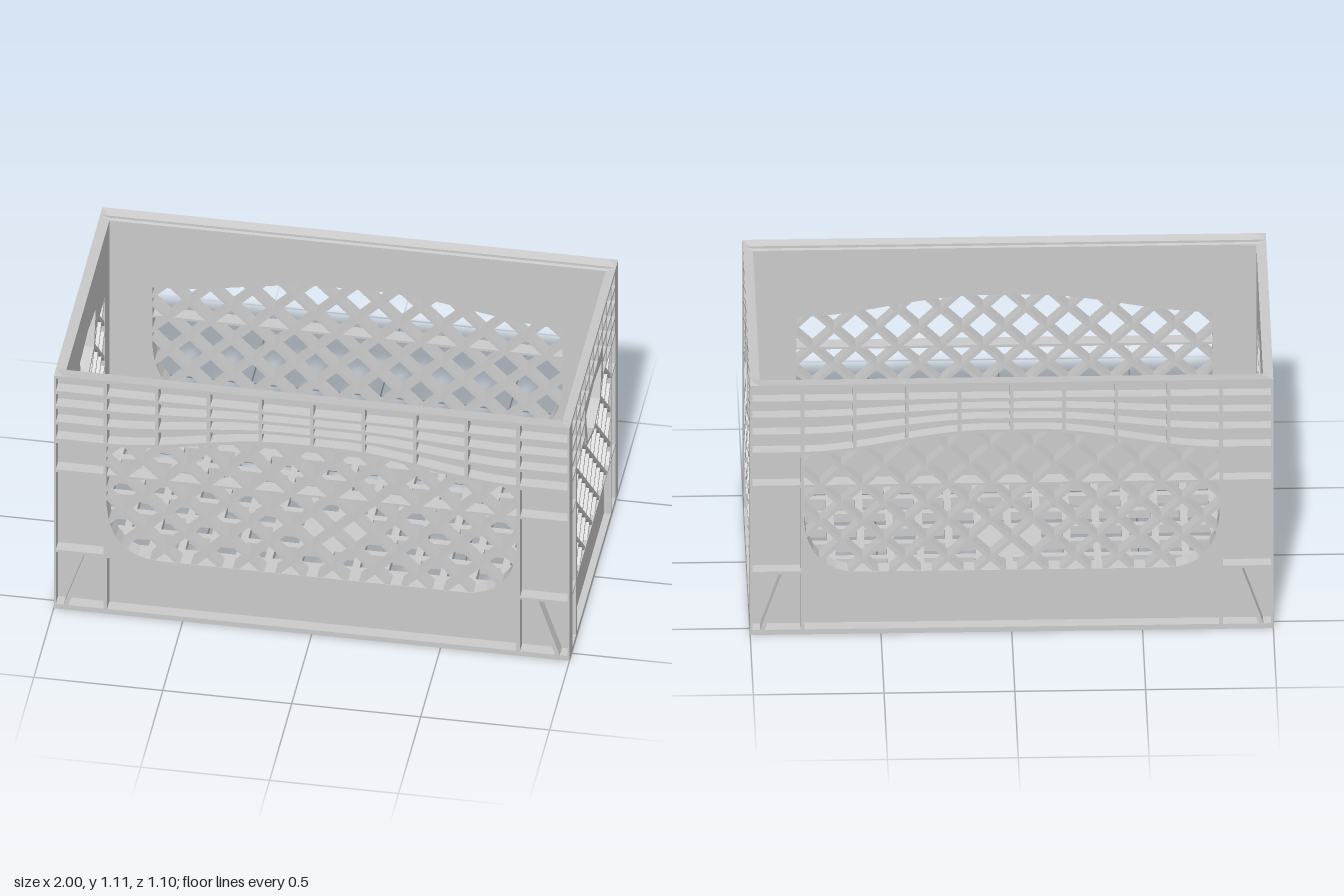
import * as THREE from 'three';

const H = 1.105, RIB = 0.007;
const plastic = new THREE.MeshStandardMaterial({ color: 0xcbcbcb });
plastic.name = 'grey plastic';

const rect = (x0, y0, x1, y1) => [[x0, y0], [x1, y0], [x1, y1], [x0, y1]];
const mirror = (pts) => pts.map(([x, y]) => [-x, y]).reverse();

// Flat plate from z0 to z1 with polygonal holes
function plate(name, outline, holes, z0, z1) {
  const toV = (pts) => pts.map(([x, y]) => new THREE.Vector2(x, y));
  const shape = new THREE.Shape(toV(outline));
  for (const h of holes) shape.holes.push(new THREE.Path(toV(h)));
  const geo = new THREE.ExtrudeGeometry(shape, { depth: z1 - z0, bevelEnabled: false });
  geo.translate(0, 0, z0);
  const mesh = new THREE.Mesh(geo, plastic);
  mesh.name = name;
  return mesh;
}

// Wall plate whose top and bottom rims slope inwards and are mitred at the crate corners
function wallPlate(name, halfWidth, holes, z0, z1, zOut, slope) {
  const a = halfWidth, b = halfWidth - 0.038;
  const outline = [[-a, 0], [-b, 0], [b, 0], [a, 0], [a, H], [b, H], [-b, H], [-a, H]];
  const mesh = plate(name, outline, holes, z0, z1);
  const pos = mesh.geometry.attributes.position;
  for (let i = 0; i < pos.count; i++) {
    const y = pos.getY(i);
    const shift = Math.min((zOut - pos.getZ(i)) * slope, (1 - Math.abs(pos.getX(i))) * 0.33);
    if (y > H - 0.001) pos.setY(i, y - shift);
    if (y < 0.001) pos.setY(i, y + shift);
  }
  mesh.geometry.computeVertexNormals();
  return mesh;
}

function inside(x, y, poly) {
  let hit = false;
  for (let i = 0, j = poly.length - 1; i < poly.length; j = i++) {
    const [ax, ay] = poly[i], [bx, by] = poly[j];
    if ((ay > y) !== (by > y) && x < ((bx - ax) * (y - ay)) / (by - ay) + ax) hit = !hit;
  }
  return hit;
}

// Straight slats along a line, kept only where the line runs inside the opening
function slats(group, px, py, angle, poly, z0, z1, thick) {
  const c = Math.cos(angle), s = Math.sin(angle), step = 0.005;
  let start = null;
  for (let t = -1.6; t <= 1.6; t += step) {
    const isIn = inside(px + c * t, py + s * t, poly);
    if (isIn && start === null) start = t;
    if (!isIn && start !== null) {
      const len = t - start + 0.012, mid = (t + start) / 2 - step / 2;
      const bar = new THREE.Mesh(new THREE.BoxGeometry(len, thick, z1 - z0), plastic);
      bar.position.set(px + c * mid, py + s * mid, (z0 + z1) / 2);
      bar.rotation.z = angle;
      bar.name = 'latticeSlat';
      group.add(bar);
      start = null;
    }
  }
}

function lattice(poly, z0, z1, pitch, nodeY, thick) {
  const g = new THREE.Group();
  g.name = 'diagonalLattice';
  for (let i = -8; i <= 8; i++)
    for (const a of [Math.PI / 4, -Math.PI / 4]) slats(g, i * pitch, nodeY, a, poly, z0, z1, thick);
  return g;
}

// Long wall: arched rib band, corner columns, plain lower panel and lattice window
function longWall() {
  const g = new THREE.Group();
  const zIn = 0.487, zMid = 0.5, zOut = 0.55, slope = 0.2;
  const side = [1.1, 1.028, 0.957, 0.882, 0.802], centre = [1.1, 1.03, 0.985, 0.94, 0.89];
  const bound = (k, x) => {
    const w = 1 - THREE.MathUtils.smoothstep(Math.abs(x), 0.1, 0.8);
    return side[k] + (centre[k] - side[k]) * w;
  };

  const win = [];
  for (let i = 0; i <= 8; i++) {
    const t = i / 8, u = 1 - t;
    win.push([-(0.795 * u * u + 2 * 0.78 * t * u + 0.59 * t * t), 0.51 * u * u + 2 * 0.28 * t * u + 0.275 * t * t]);
  }
  win.push(...mirror(win));
  for (let i = 0; i <= 16; i++) {
    const x = 0.795 - (1.59 * i) / 16;
    win.push([x, bound(4, x) - RIB]);
  }

  const holes = [win, rect(-0.793, 0.022, 0.793, 0.265)];
  // Ten by four pockets following the arch
  for (let c = 0; c < 10; c++) {
    const x0 = Math.max(-0.992, -1 + c * 0.2 + RIB), x1 = Math.min(0.992, -0.8 + c * 0.2 - RIB);
    for (let k = 0; k < 4; k++) {
      const low = [], high = [];
      for (let i = 0; i <= 4; i++) {
        const x = x0 + ((x1 - x0) * i) / 4;
        low.push([x, bound(k + 1, x) + RIB]);
        high.unshift([x, bound(k, x) - RIB]);
      }
      holes.push([...low, ...high]);
    }
  }
  // Column pockets, the lowest one split by a slanted gusset
  const column = [
    rect(0.808, 0.662, 0.992, 0.788), rect(0.808, 0.28, 0.992, 0.65),
    [[0.808, 0.022], [0.944, 0.022], [0.862, 0.268], [0.808, 0.268]],
    [[0.962, 0.022], [0.992, 0.022], [0.992, 0.268], [0.88, 0.268]],
  ];
  for (const p of column) holes.push(p, mirror(p));

  g.add(wallPlate('innerSkin', 1, [win], zIn, zMid, zOut, slope));
  g.add(wallPlate('ribbedFace', 1, holes, zMid, zOut, zOut, slope));
  g.add(lattice(win, zIn + 0.002, zOut - 0.002, 0.163, 0.57, 0.017));
  const bar = new THREE.Group();
  bar.name = 'crossBar';
  slats(bar, 0, 0.655, 0, win, zIn + 0.003, zOut - 0.003, 0.01);
  g.add(bar);
  return g;
}

// Short wall: square pockets, hand hole with collar, lattice window and lower panel
function endWall() {
  const g = new THREE.Group();
  const zIn = 0.962, zMid = 0.973, zOut = 1, w = 0.487, slope = 0.33;
  const hand = [[0, 0.705], [0.138, 0.745], [0.177, 0.897], [0, 0.922], [-0.177, 0.897], [-0.138, 0.745]];
  const win = [
    [-0.385, 0.275], [0.385, 0.275], [0.385, 0.8], [0.18, 0.8], [0.155, 0.735],
    [0, 0.688], [-0.155, 0.735], [-0.18, 0.8], [-0.385, 0.8],
  ];
  const holes = [hand, win, rect(-0.385, 0.017, 0.385, 0.265)];
  for (let c = 0; c < 10; c++)
    for (let r = 0; r < 4; r++) {
      if (r > 1 && c > 2 && c < 7) continue;
      const x = (c - 4.5) * 0.0975, y = 1.06 - r * 0.073;
      holes.push(rect(x - 0.043, y - 0.029, x + 0.043, y + 0.029));
    }
  for (const [y0, y1] of [[0.017, 0.265], [0.275, 0.65], [0.66, 0.8]]) {
    const p = rect(0.403, y0, 0.483, y1);
    holes.push(p, mirror(p));
  }
  g.add(wallPlate('innerSkin', w, [hand, win], zIn, zMid, zOut, slope));
  g.add(wallPlate('ribbedFace', w, holes, zMid, zOut, zOut, slope));
  g.add(lattice(win, zIn + 0.002, zOut - 0.002, 0.163, 0.57, 0.016));
  return g;
}

// Floor grid with a solid square in the middle
function floorGrid() {
  const holes = [];
  for (let c = 0; c < 16; c++)
    for (let r = 0; r < 8; r++) {
      if ((c === 7 || c === 8) && (r === 3 || r === 4)) continue;
      const x = (c - 7.5) * 0.1127, y = (r - 3.5) * 0.1127 + 0.005;
      holes.push(rect(x - 0.042, y - 0.042, x + 0.042, y + 0.042));
    }
  const m = plate('floorGrid', rect(-0.965, -0.49, 0.965, 0.49), holes, 0.05, 0.085);
  m.rotation.x = -Math.PI / 2;
  return m;
}

export function createModel() {
  const crate = new THREE.Group();
  crate.name = 'crate';
  const walls = [['frontWall', longWall, 0], ['backWall', longWall, Math.PI], ['leftEnd', endWall, Math.PI / 2], ['rightEnd', endWall, -Math.PI / 2]];
  for (const [name, build, turn] of walls) {
    const wall = build();
    wall.name = name;
    wall.rotation.y = turn;
    crate.add(wall);
  }
  crate.add(floorGrid());
  return crate;
}
